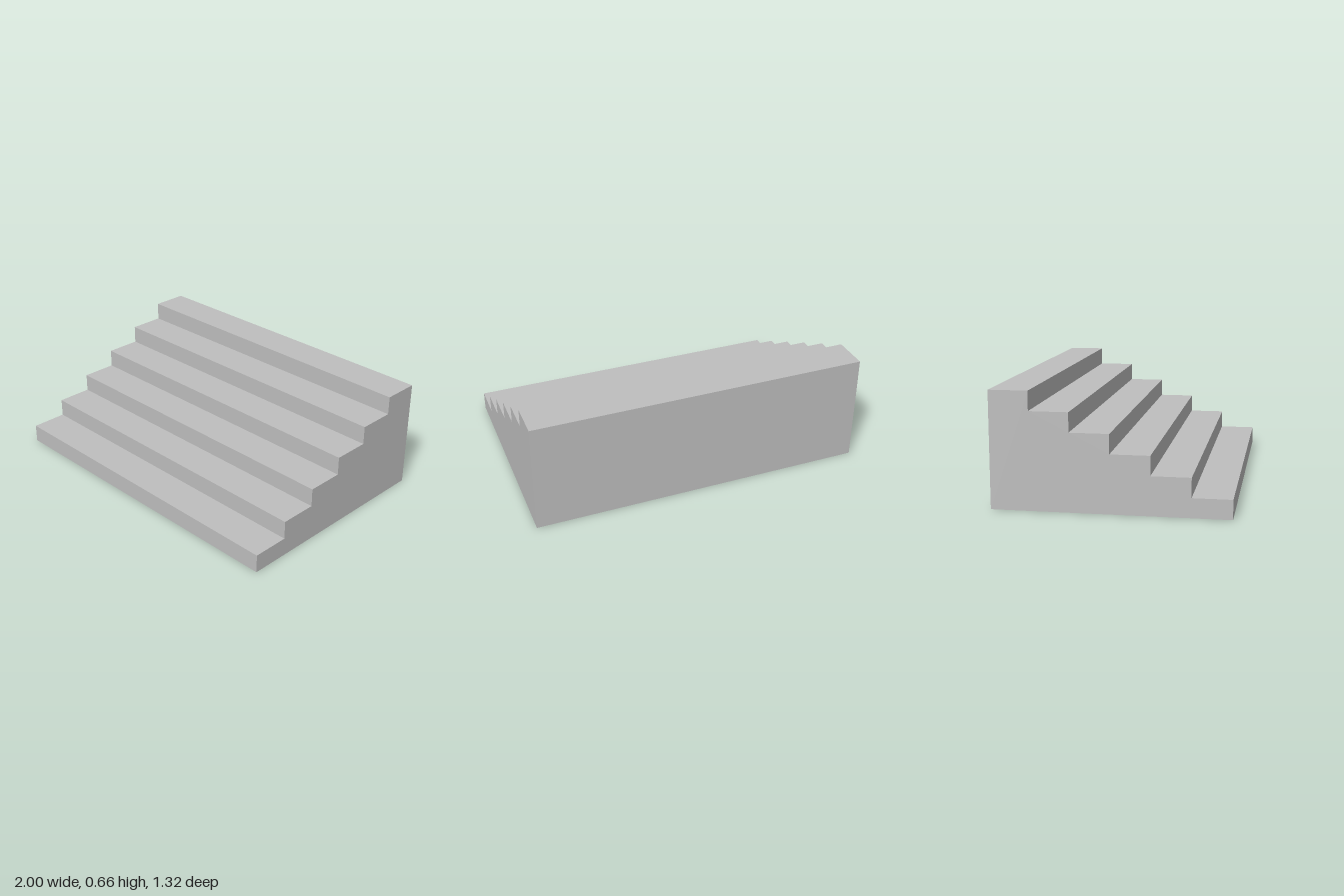
import * as THREE from 'three';

const STEPS = 6, RISE = 0.11, TREAD = 0.22, WIDTH = 2;

export function createModel() {
  const group = new THREE.Group();
  group.name = 'staircase';

  const stone = new THREE.MeshStandardMaterial({ color: 0xbfbfbf });
  stone.name = 'grey stone';

  // Side profile: solid steps climbing from the front to the back
  const half = (STEPS * TREAD) / 2;
  const profile = new THREE.Shape();
  profile.moveTo(half, 0);
  profile.lineTo(half, STEPS * RISE);
  for (let i = STEPS - 1; i >= 0; i--) {
    const x = -half + i * TREAD;
    profile.lineTo(x, (i + 1) * RISE);
    profile.lineTo(x, i * RISE);
  }
  profile.closePath();

  // Extrude across the width, then turn so the lowest step faces +z
  const geometry = new THREE.ExtrudeGeometry(profile, { depth: WIDTH, bevelEnabled: false });
  geometry.translate(0, 0, -WIDTH / 2);
  geometry.rotateY(Math.PI / 2);

  const steps = new THREE.Mesh(geometry, stone);
  steps.name = 'steps';
  group.add(steps);
  return group;
}
